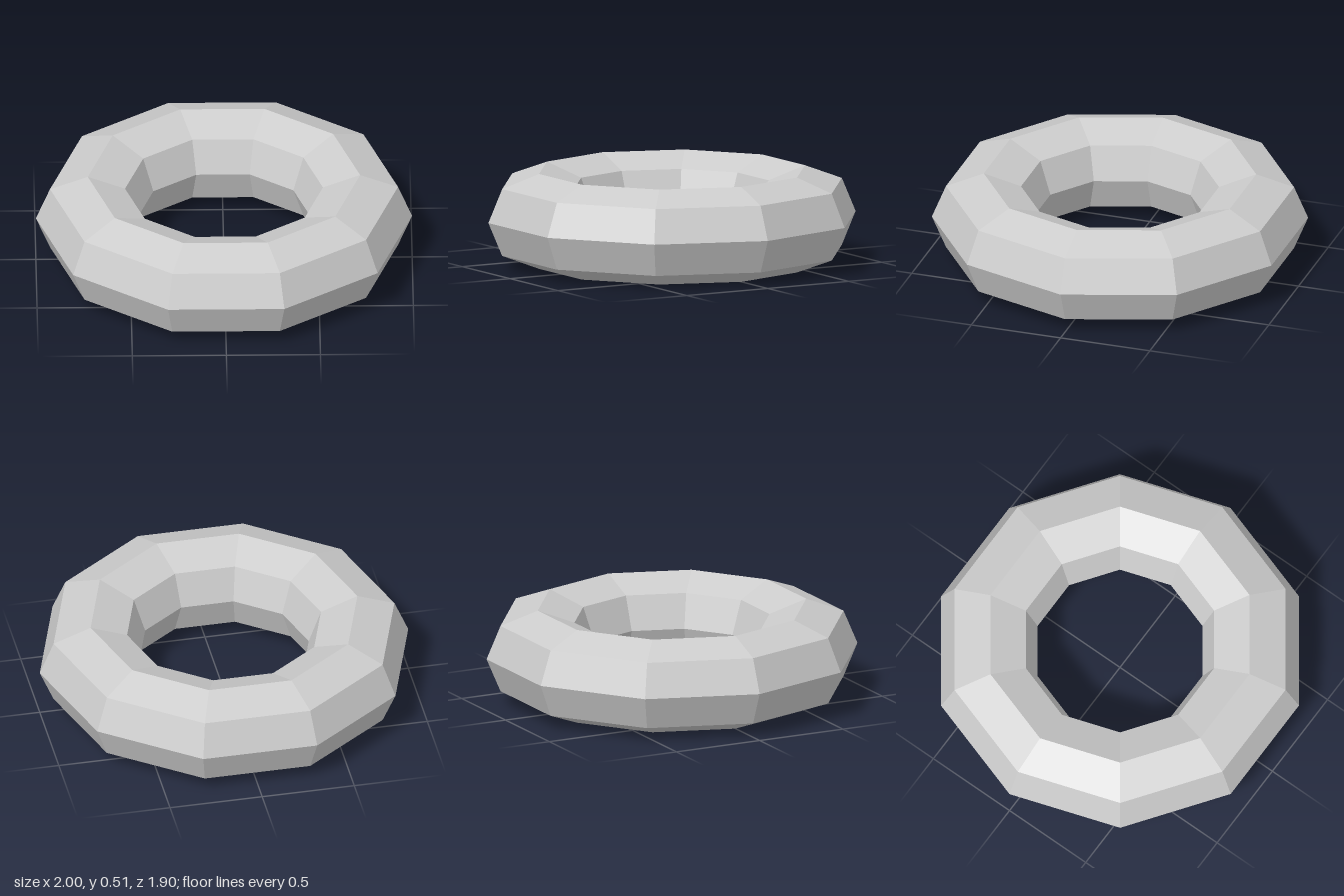
import * as THREE from 'three';

export function createModel() {
  const group = new THREE.Group();
  group.name = 'lowPolyRing';

  // Closed eight-sided cross-section (radius, height): up the outside, down the inside
  const profile = [
    [0.724, 0], [0.925, 0.076], [1, 0.255], [0.925, 0.435],
    [0.724, 0.51], [0.526, 0.435], [0.46, 0.255], [0.526, 0.076], [0.724, 0],
  ].map(([r, y]) => new THREE.Vector2(r, y));

  // Ten segments around, with corners on the x axis
  const geometry = new THREE.LatheGeometry(profile, 10, Math.PI / 2);
  const material = new THREE.MeshStandardMaterial({ color: 0xcccccc, flatShading: true });
  const ring = new THREE.Mesh(geometry, material);
  ring.name = 'ring';
  group.add(ring);
  return group;
}
